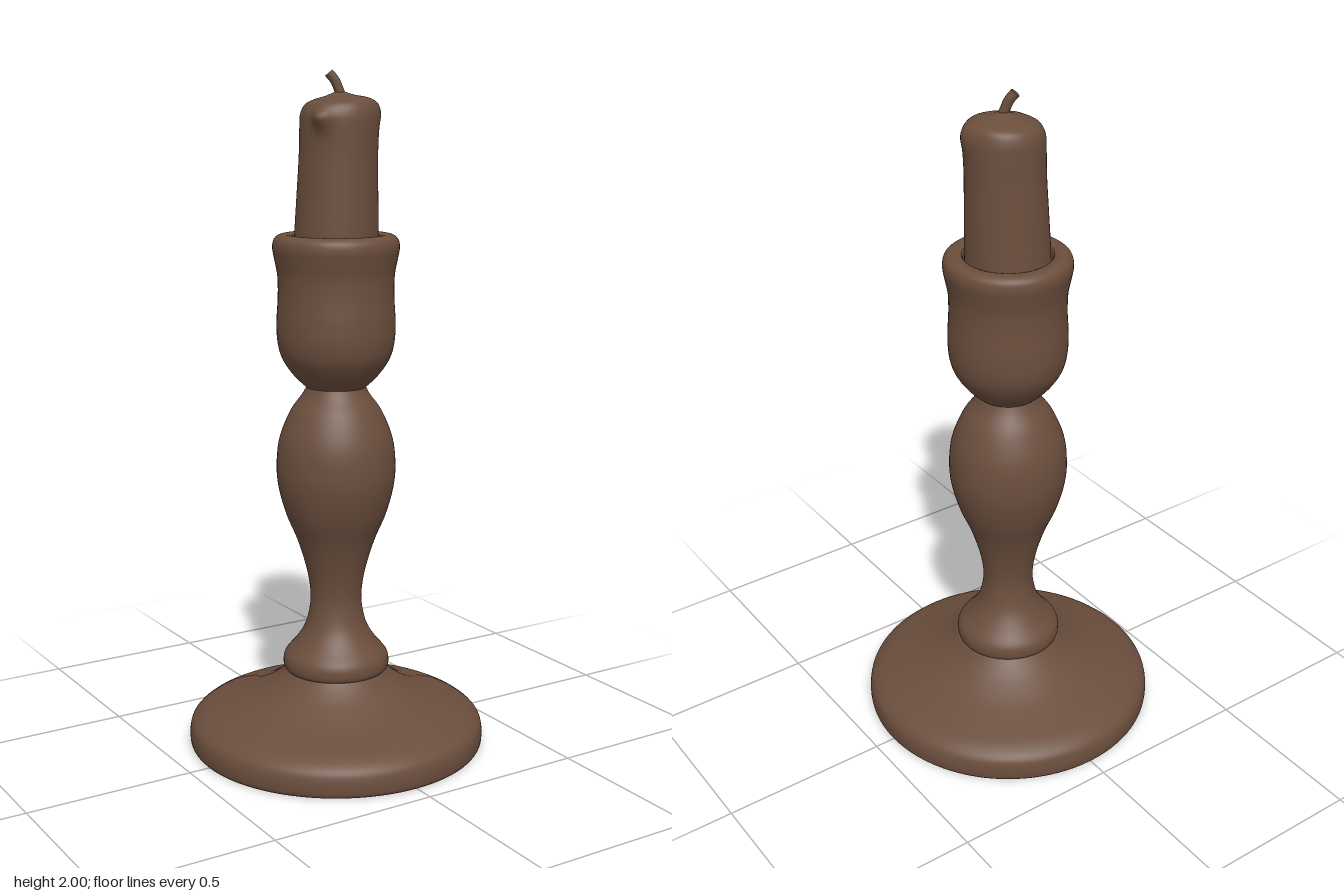
import * as THREE from 'three';
import { mergeVertices } from 'three/addons/utils/BufferGeometryUtils.js';

const wood = new THREE.MeshStandardMaterial({ color: 0x6b4e3d });
wood.name = 'brown';

// Smooth turned profile through [radius, height] points
function turned(points, samples, segments = 64) {
  const curve = new THREE.SplineCurve(points.map(([r, y]) => new THREE.Vector2(r, y)));
  const profile = curve.getPoints(samples);
  profile.forEach((p) => { p.x = Math.max(p.x, 0); });
  return new THREE.LatheGeometry(profile, segments);
}

function addPart(group, name, geometry) {
  const mesh = new THREE.Mesh(geometry, wood);
  mesh.name = name;
  group.add(mesh);
  return mesh;
}

// Candle body with a slight lean and drips of wax at the rim
function candleGeometry() {
  const g = turned([
    [0.121, 1.46], [0.121, 1.54], [0.117, 1.65], [0.113, 1.76], [0.113, 1.84],
    [0.111, 1.88], [0.099, 1.908], [0.075, 1.921], [0.04, 1.93], [0.012, 1.94], [0, 1.942],
  ], 60, 72);
  const drips = [
    { angle: Math.atan2(-0.115, 0.075), y: 1.872, width: 0.22, height: 0.035, out: 0.027 },
    { angle: Math.atan2(0.115, 0.035), y: 1.885, width: 0.35, height: 0.035, out: 0.01 },
  ];
  const pos = g.attributes.position;
  for (let i = 0; i < pos.count; i++) {
    let x = pos.getX(i), y = pos.getY(i), z = pos.getZ(i);
    const r = Math.hypot(x, z);
    const angle = Math.atan2(x, z);
    const lean = THREE.MathUtils.clamp((y - 1.5) / 0.35, 0, 1);
    if (r > 0.06) {
      for (const d of drips) {
        const da = Math.atan2(Math.sin(angle - d.angle), Math.cos(angle - d.angle));
        const k = 1 + (d.out / r) * Math.exp(-((da / d.width) ** 2) - ((y - d.y) / d.height) ** 2);
        x *= k;
        z *= k;
      }
    }
    // the wax is a little higher on the right
    if (y > 1.86) y += 0.06 * x * Math.min(1, (y - 1.86) / 0.04);
    pos.setXYZ(i, x + 0.004 * lean, y, z + 0.011 * lean);
  }
  g.deleteAttribute('normal');
  g.deleteAttribute('uv');
  const merged = mergeVertices(g, 1e-5);
  merged.computeVertexNormals();
  return merged;
}

export function createModel() {
  const model = new THREE.Group();
  model.name = 'candlestick';

  // Flared round foot
  addPart(model, 'foot', turned([
    [0.436, 0], [0.443, 0.012], [0.444, 0.045], [0.434, 0.075], [0.4, 0.1],
    [0.34, 0.122], [0.27, 0.148], [0.21, 0.18], [0.17, 0.21], [0.145, 0.235],
  ], 48, 96));
  const underside = addPart(model, 'footUnderside', new THREE.CircleGeometry(0.436, 96));
  underside.rotation.x = Math.PI / 2;

  // Turned stem: ring, narrow neck and swelling
  addPart(model, 'stem', turned([
    [0.13, 0.229], [0.152, 0.231], [0.159, 0.25], [0.153, 0.28], [0.12, 0.32],
    [0.093, 0.365], [0.079, 0.42], [0.077, 0.47], [0.088, 0.54], [0.115, 0.63],
    [0.148, 0.71], [0.17, 0.79], [0.176, 0.86], [0.167, 0.94], [0.135, 1.02],
    [0.1, 1.07], [0.084, 1.1],
  ], 90));

  // Candle cup with rolled lip
  addPart(model, 'cup', turned([
    [0.07, 1.087], [0.085, 1.092], [0.125, 1.13], [0.158, 1.18], [0.171, 1.23],
    [0.173, 1.29], [0.169, 1.36], [0.17, 1.42], [0.179, 1.47], [0.184, 1.5],
    [0.18, 1.524], [0.165, 1.537], [0.145, 1.539], [0.13, 1.534],
  ], 80));

  // Socket inside the cup
  addPart(model, 'socket', new THREE.LatheGeometry([
    new THREE.Vector2(0.13, 1.534), new THREE.Vector2(0.125, 1.525),
    new THREE.Vector2(0.124, 1.47), new THREE.Vector2(0, 1.47),
  ], 64));

  addPart(model, 'candle', candleGeometry());

  // Bent wick with a flat tip
  const wickPath = new THREE.CatmullRomCurve3([
    new THREE.Vector3(0.008, 1.925, 0.018), new THREE.Vector3(0, 1.95, 0.012),
    new THREE.Vector3(-0.008, 1.972, 0.006), new THREE.Vector3(-0.022, 1.992, -0.003),
  ]);
  addPart(model, 'wick', new THREE.TubeGeometry(wickPath, 10, 0.014, 8));
  const tip = addPart(model, 'wickTip', new THREE.CircleGeometry(0.014, 8));
  const end = wickPath.getPoint(1);
  tip.position.copy(end);
  tip.quaternion.setFromUnitVectors(new THREE.Vector3(0, 0, 1), wickPath.getTangent(1));

  return model;
}
